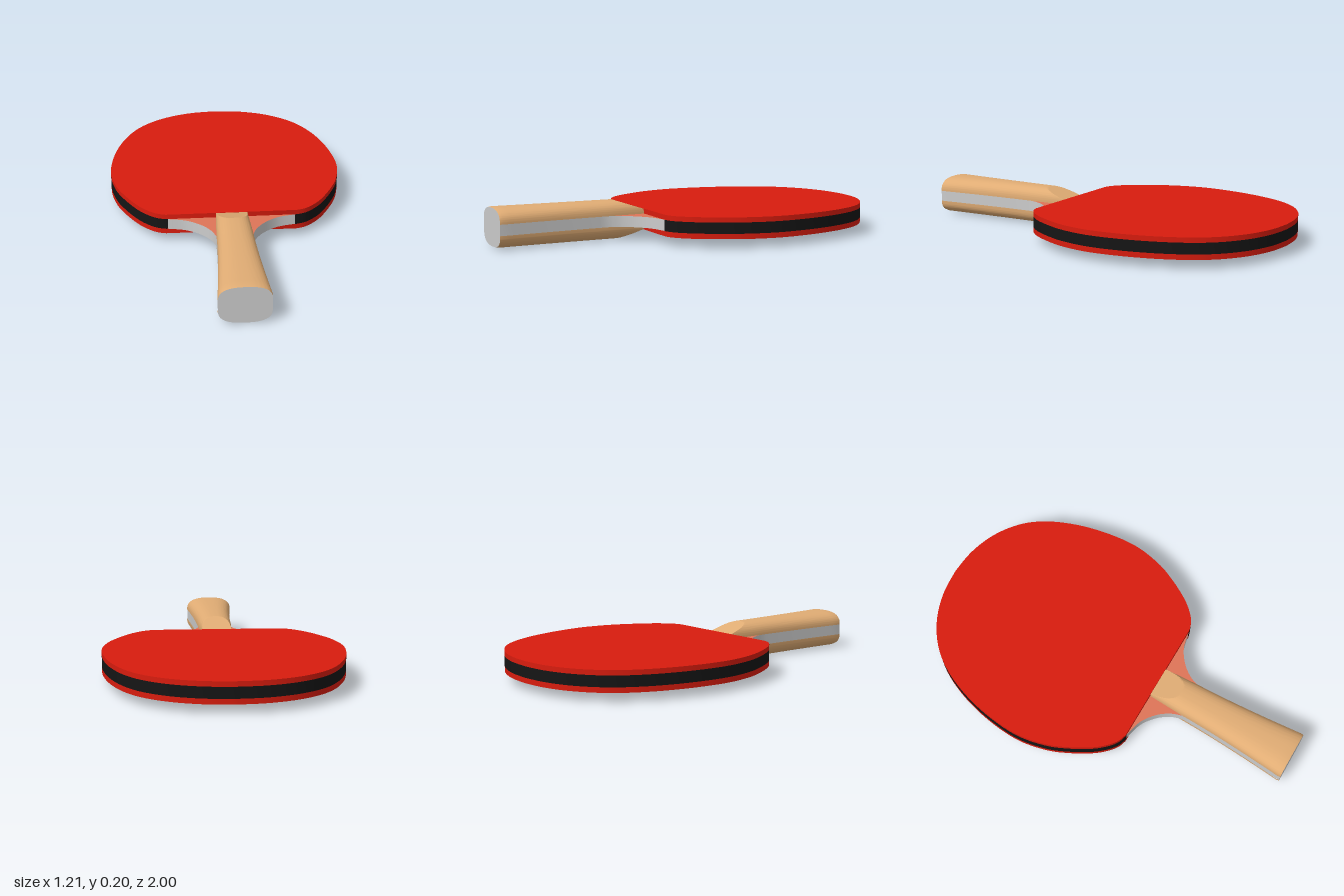
import * as THREE from 'three';
import { toCreasedNormals } from 'three/addons/utils/BufferGeometryUtils.js';

const CORE_LOW = 0.075, CORE_HIGH = 0.13, MID = 0.1025, NECK_Z = 0.228;

const mat = (color) => new THREE.MeshStandardMaterial({ color });
const red = mat(0xd81c0e), black = mat(0x151515), wood = mat(0xe0ac74);
const veneer = mat(0xdf7558), grey = mat(0xcccccc);

// Half width of the handle along its length, with a slightly eased butt end
function halfWidth(z) {
  if (z < 0.42) return 0.09 - 0.01 * (0.42 - z) / 0.19;
  const t = (z - 0.42) / 0.58;
  return 0.09 + 0.037 * t ** 1.5 - (z > 0.99 ? 0.003 : 0);
}

// Smooth right half of an outline, given as [x, z], sampled as Vector2(x, -z)
function smooth(points, samples) {
  return new THREE.SplineCurve(points.map(([x, z]) => new THREE.Vector2(x, -z))).getPoints(samples);
}

// Closed mirrored shape from a right half outline
function mirrored(half) {
  const left = half.map((p) => new THREE.Vector2(-p.x, p.y)).reverse();
  return new THREE.Shape([...half, ...left.filter((p) => Math.abs(p.x) > 1e-5)]);
}

// Flat horizontal layer between two heights
function layer(name, shape, low, high, materials) {
  const flat = new THREE.ExtrudeGeometry(shape, { depth: high - low, bevelEnabled: false });
  flat.rotateX(-Math.PI / 2);
  flat.translate(0, low, 0);
  const geometry = toCreasedNormals(flat, 0.5);
  const mesh = new THREE.Mesh(geometry, materials);
  mesh.name = name;
  return mesh;
}

// Rounded upper half of the handle section, from +x to -x
const COLS = 48, POWER = 2 / 2.6;
function section(z) {
  const w = halfWidth(z), height = z > 0.99 ? 0.067 : 0.07;
  const bevel = 0.155 + 0.045 * (z - 0.23) / 0.135;
  const points = [];
  for (let j = 0; j <= COLS; j++) {
    const a = Math.PI * j / COLS, c = Math.cos(a);
    const x = w * Math.sign(c) * Math.abs(c) ** POWER;
    const y = CORE_HIGH + height * Math.max(0, Math.sin(a)) ** POWER;
    points.push([x, Math.min(y, bevel)]);
  }
  return points;
}

// One wooden handle scale: side = 1 above the core, -1 below
function handleScale(name, side) {
  const stations = [];
  for (let i = 0; i <= 24; i++) stations.push(0.228 + 0.142 * i / 24);
  for (let i = 1; i <= 16; i++) stations.push(0.37 + 0.615 * i / 16);
  stations.push(1);
  const position = [], index = [], row = COLS + 1;
  stations.forEach((z, i) => {
    for (const [x, y] of section(z)) position.push(x, MID + side * (y - MID), z);
    if (i === 0) return;
    for (let j = 0; j < COLS; j++) {
      const a = (i - 1) * row + j, b = a + row, c = a + 1, d = b + 1;
      if (side > 0) index.push(a, c, b, b, c, d);
      else index.push(a, b, c, b, d, c);
    }
  });
  const geometry = new THREE.BufferGeometry();
  geometry.setAttribute('position', new THREE.Float32BufferAttribute(position, 3));
  geometry.setIndex(index);
  const mesh = new THREE.Mesh(toCreasedNormals(geometry, 0.26), wood);
  mesh.name = name;
  return mesh;
}

export function createModel() {
  const paddle = new THREE.Group();
  paddle.name = 'paddle';

  // Head: black edge between two red rubber sheets
  const headHalf = smooth([
    [0.33, 0.227], [0.375, 0.211], [0.42, 0.175], [0.47, 0.115], [0.53, 0.01], [0.575, -0.1],
    [0.602, -0.25], [0.59, -0.42], [0.55, -0.59], [0.485, -0.74], [0.4, -0.85], [0.28, -0.935],
    [0.14, -0.985], [0, -1],
  ], 70);
  const head = mirrored(headHalf);
  paddle.add(layer('bladeEdge', head, CORE_LOW, CORE_HIGH, black));
  paddle.add(layer('topRubber', head, CORE_HIGH, 0.155, red));
  paddle.add(layer('bottomRubber', head, 0.049, CORE_LOW, red));

  // Core: flared neck running on as the strip inside the handle
  const flare = smooth([[0.32, 0.227], [0.23, 0.25], [0.158, 0.3], [0.112, 0.36], [0.09, 0.42]], 24);
  const strip = [];
  for (let i = 12; i >= 0; i--) {
    const z = i === 12 ? 1 : 0.42 + 0.57 * i / 11.5;
    if (i > 0) strip.push(new THREE.Vector2(halfWidth(z), -z));
  }
  const coreHalf = [...strip, ...flare.reverse()];
  paddle.add(layer('neckCore', mirrored(coreHalf), CORE_LOW, CORE_HIGH, [veneer, grey]));

  // Handle scales on both faces
  paddle.add(handleScale('topHandleScale', 1), handleScale('bottomHandleScale', -1));

  // Butt end of the handle
  const upper = section(1);
  const lower = upper.map(([x, y]) => [x, 2 * MID - y]).reverse();
  const butt = new THREE.Shape([...upper, ...lower].map(([x, y]) => new THREE.Vector2(x, y)));
  const cap = new THREE.Mesh(new THREE.ShapeGeometry(butt), grey);
  cap.name = 'handleEnd';
  cap.position.z = 1;
  paddle.add(cap);

  return paddle;
}
